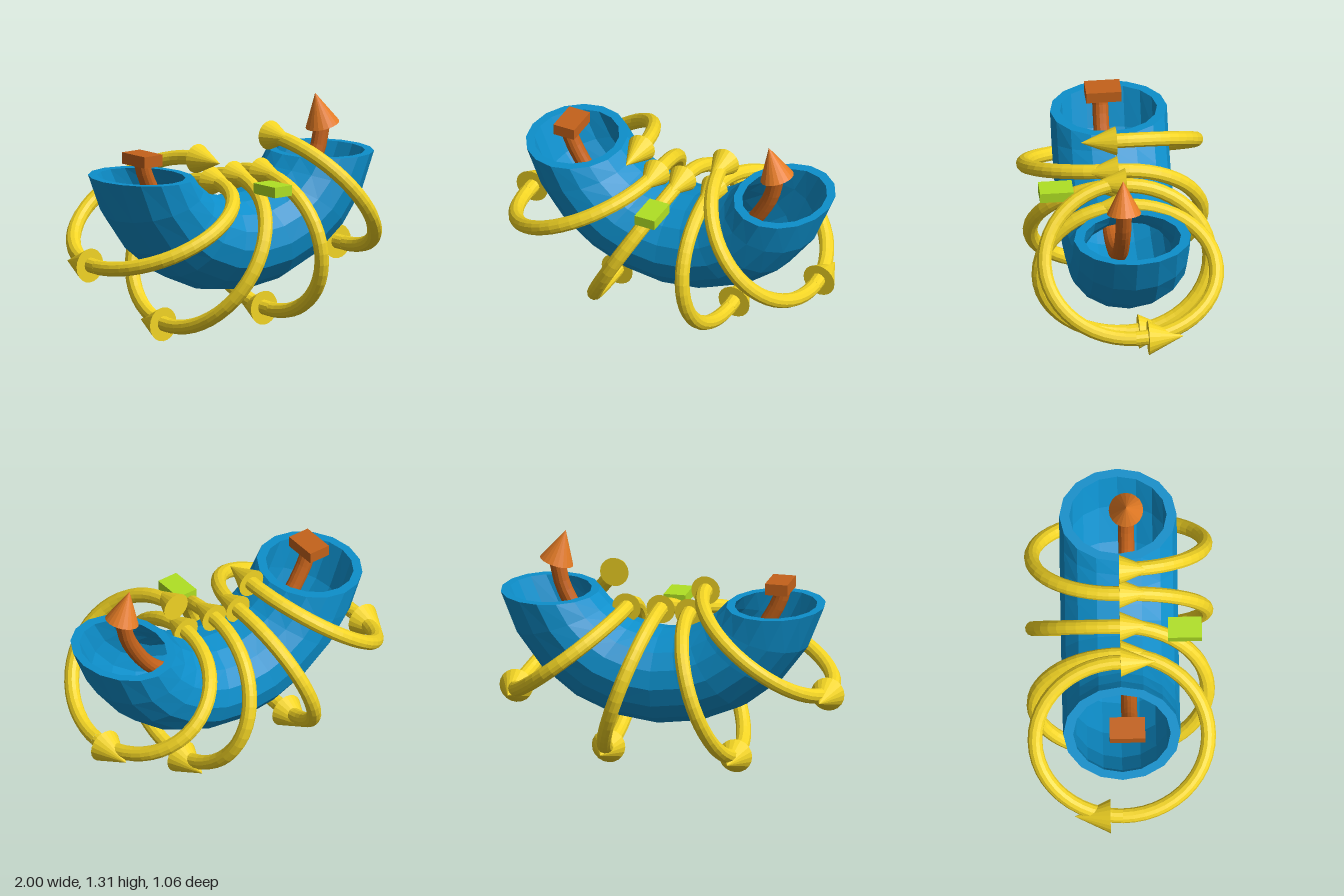
import * as THREE from 'three';

const paint = (color) => new THREE.MeshStandardMaterial({ color, flatShading: true });
const BLUE = paint(0x0d8fcb), YELLOW = paint(0xf2d424), ORANGE = paint(0xe67c25);
const RUST = paint(0xc4621b), GREEN = paint(0xb0e024);

function part(name, geometry, material) {
  const mesh = new THREE.Mesh(geometry, material);
  mesh.name = name;
  return mesh;
}

// Cone with its base centred on a point and its tip along a direction
function arrowHead(name, base, direction, radius, height, material, sides = 20) {
  const geometry = new THREE.ConeGeometry(radius, height, sides).translate(0, height / 2, 0);
  const cone = part(name, geometry, material);
  cone.position.copy(base);
  cone.quaternion.setFromUnitVectors(new THREE.Vector3(0, 1, 0), direction.clone().normalize());
  return cone;
}

// Hollow curved core: oval rings between an outer and an inner arc, flat at both ends
function coreGeometry() {
  const steps = 10, sides = 16, bore = 0.83, rimY = 0.985, midX = 0.065;
  const arcPoint = (t, radius, rise) => {
    const a = t * Math.acos(rise / radius);
    return new THREE.Vector3(midX + radius * Math.sin(a), rimY + rise - radius * Math.cos(a), 0);
  };
  // Rows run along the outside, over the rim, back through the bore and over the other rim
  const rows = [];
  for (let i = 0; i <= steps; i++) rows.push([i, 1]);
  for (let i = steps; i >= 0; i--) rows.push([i, bore]);
  rows.push([0, 1]);

  const positions = [], index = [];
  for (const [i, scale] of rows) {
    const t = (2 * i) / steps - 1;
    const outer = arcPoint(t, 0.959, 0.234), inner = arcPoint(t, 0.472, 0.287);
    const mid = outer.clone().add(inner).multiplyScalar(0.5);
    const radial = outer.sub(mid).multiplyScalar(scale);
    for (let j = 0; j < sides; j++) {
      const f = (j / sides) * Math.PI * 2;
      const p = mid.clone().addScaledVector(radial, Math.cos(f));
      positions.push(p.x, p.y, 0.33 * scale * Math.sin(f));
    }
  }
  for (let r = 0; r < rows.length - 1; r++) {
    for (let j = 0; j < sides; j++) {
      const k = (j + 1) % sides;
      const a = r * sides + j, b = a + sides, c = (r + 1) * sides + k, d = r * sides + k;
      index.push(a, b, c, a, c, d);
    }
  }
  const indexed = new THREE.BufferGeometry();
  indexed.setAttribute('position', new THREE.Float32BufferAttribute(positions, 3));
  indexed.setIndex(index);
  const geometry = indexed.toNonIndexed();
  geometry.computeVertexNormals();
  return geometry;
}

// Half an oval between two coil nodes, bulging to the front (+1) or back (-1)
class HalfTurn extends THREE.Curve {
  constructor(from, to, side) {
    super();
    Object.assign(this, { from, to, side });
  }
  getPoint(t, target = new THREE.Vector3()) {
    target.lerpVectors(this.from, this.to, (1 - Math.cos(Math.PI * t)) / 2);
    target.z = this.side * 0.488 * Math.sin(Math.PI * t);
    return target;
  }
}

// Wire coil: alternating upper and lower nodes with an arrow head at each
function coil() {
  const group = new THREE.Group();
  group.name = 'coil';
  const nodes = [
    [0.348, 1.107], [0.898, 0.422], [0.278, 0.904], [0.364, 0.107], [0.08, 0.909],
    [-0.37, 0.102], [-0.085, 0.898], [-0.904, 0.503], [-0.18, 1.037],
  ].map(([x, y]) => new THREE.Vector3(x, y, 0));
  nodes.forEach((node, i) => {
    const upper = i % 2 === 0;
    if (i < nodes.length - 1) {
      const turn = new HalfTurn(node, nodes[i + 1], upper ? 1 : -1);
      group.add(part('coilHalfTurn', new THREE.TubeGeometry(turn, 24, 0.042, 12), YELLOW));
    }
    const base = node.clone().setZ(upper ? 0 : -0.07);
    const direction = new THREE.Vector3(0, 0, upper ? 1 : -1);
    group.add(arrowHead('coilArrowHead', base, direction, upper ? 0.083 : 0.097, 0.2, YELLOW));
  });
  return group;
}

export function createModel() {
  const model = new THREE.Group();
  model.name = 'solenoid';
  model.add(part('core', coreGeometry(), BLUE), coil());

  // Rod running through the bore, with an arrow head and a block at its ends
  const rodZ = 0.045;
  const path = new THREE.CatmullRomCurve3([
    [-0.62, 1.07], [-0.585, 0.97], [-0.4, 0.72], [0.04, 0.53], [0.45, 0.7], [0.645, 0.97], [0.69, 1.135],
  ].map(([x, y]) => new THREE.Vector3(x, y, rodZ)));
  model.add(part('fieldRod', new THREE.TubeGeometry(path, 32, 0.045, 14), RUST));
  model.add(arrowHead('fieldArrowHead', new THREE.Vector3(0.693, 1.134, rodZ),
    new THREE.Vector3(-0.053, 0.186, 0), 0.097, 0.193, ORANGE));

  const fieldBlock = part('fieldBlock', new THREE.BoxGeometry(0.13, 0.065, 0.2), RUST);
  fieldBlock.position.set(-0.605, 1.09, 0.03);
  const currentBlock = part('currentBlock', new THREE.BoxGeometry(0.125, 0.06, 0.19), GREEN);
  currentBlock.position.set(0.067, 0.885, 0.365);
  model.add(fieldBlock, currentBlock);
  return model;
}
